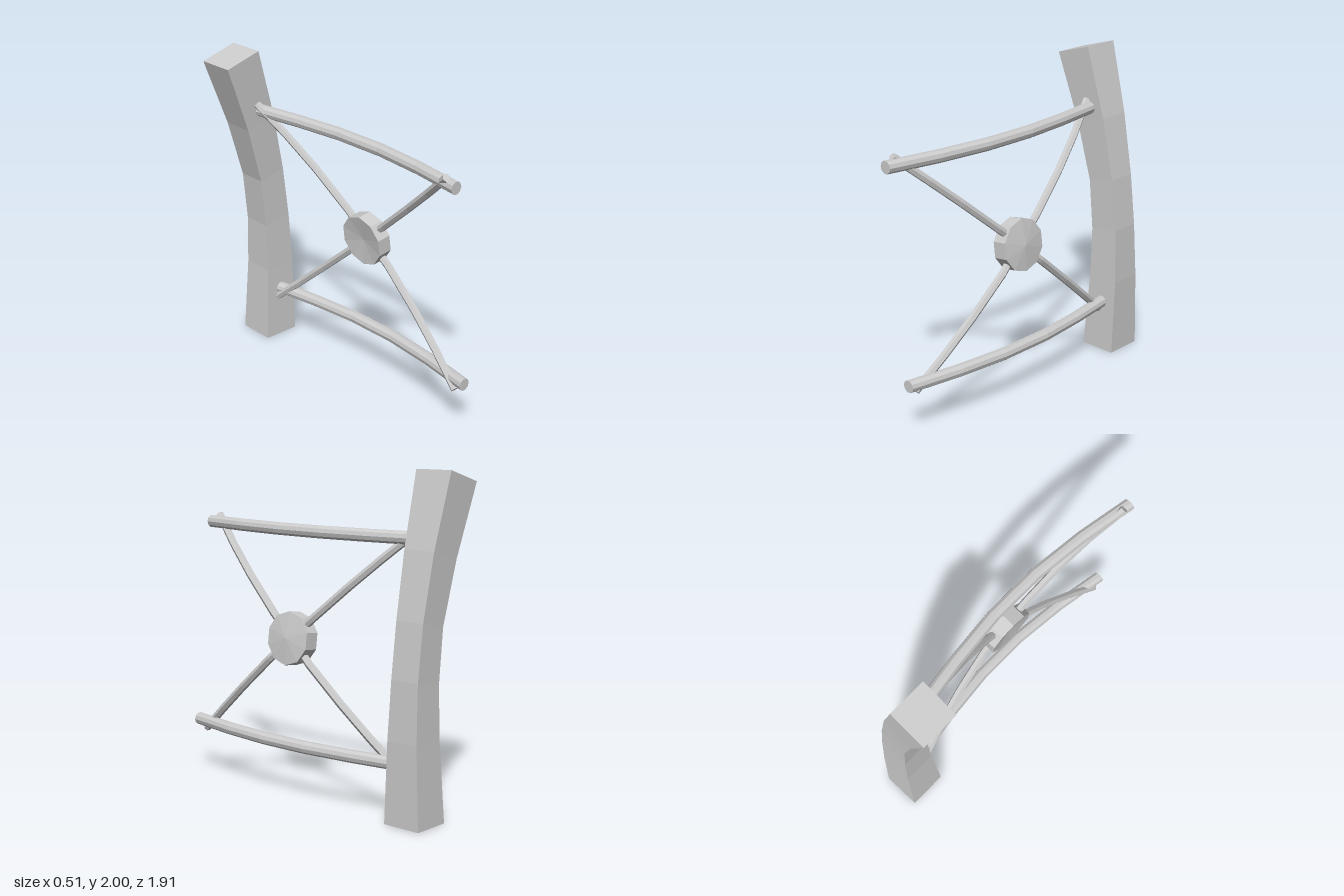
import * as THREE from 'three';

const material = new THREE.MeshStandardMaterial({ color: 0xcccccc, flatShading: true });
const V = (x, y, z) => new THREE.Vector3(x, y, z);

// Closed solid through rings of points, each counterclockwise about the direction of travel
function loft(name, rings) {
  const tris = [];
  const n = rings[0].length;
  for (let r = 0; r < rings.length - 1; r++) {
    const a = rings[r], b = rings[r + 1];
    for (let i = 0; i < n; i++) {
      const j = (i + 1) % n;
      tris.push(a[i], a[j], b[j], a[i], b[j], b[i]);
    }
  }
  const first = rings[0], last = rings[rings.length - 1];
  for (let i = 1; i < n - 1; i++) {
    tris.push(first[0], first[i + 1], first[i], last[0], last[i], last[i + 1]);
  }
  const geometry = new THREE.BufferGeometry().setFromPoints(tris);
  geometry.computeVertexNormals();
  const mesh = new THREE.Mesh(geometry, material);
  mesh.name = name;
  return mesh;
}

// Round bar whose rings all face along one direction
function bar(name, points, radius, sides, direction) {
  const d = direction.clone().normalize();
  const u = V(1, 0, 0).addScaledVector(d, -d.x).normalize();
  const v = d.clone().cross(u);
  return loft(name, points.map(p => Array.from({ length: sides }, (_, i) => {
    const t = (i / sides) * Math.PI * 2;
    return p.clone().addScaledVector(u, radius * Math.cos(t)).addScaledVector(v, radius * Math.sin(t));
  })));
}

export function createModel() {
  const group = new THREE.Group();
  group.name = 'bracedFrame';

  // Curved post: left x, left y, right x, right y, half depth
  const sections = [
    [0, 0, 0.24, 0, 0.122],
    [0.03, 0.49, 0.24, 0.49, 0.104],
    [0.03, 0.81, 0.222, 0.84, 0.094],
    [0, 1.13, 0.182, 1.17, 0.094],
    [-0.1, 1.5, 0.105, 1.56, 0.104],
    [-0.255, 1.93, -0.017, 2, 0.122],
  ];
  const pz = -0.832;
  group.add(loft('post', sections.map(([lx, ly, rx, ry, h]) => [
    V(rx, ry, pz + h), V(rx, ry, pz - h), V(lx, ly, pz - h), V(lx, ly, pz + h),
  ])));

  // Bowed rails, upper and lower
  const bow = [[-0.75, -0.005], [-0.41, 0.047], [-0.08, 0.08], [0.27, 0.08], [0.61, 0.045], [0.955, -0.015]];
  for (const [name, dx, y] of [['upperRail', 0, 1.613], ['lowerRail', 0.135, 0.333]]) {
    group.add(bar(name, bow.map(([z, x]) => V(x + dx, y, z)), 0.039, 10, V(0, 0, 1)));
  }

  // Four spokes running from the hub to the rail ends
  const hub = V(0.152, 0.968, 0.085);
  for (const [level, up, xs] of [
    ['upper', 1, [0.155, 0.145, 0.1, 0.045, -0.028]],
    ['lower', -1, [0.165, 0.178, 0.168, 0.145, 0.11]],
  ]) {
    for (const [side, out] of [['Front', 1], ['Back', -1]]) {
      const points = [0.08, 0.2, 0.5, 0.75, 1].map((t, i) =>
        V(xs[i], hub.y + up * 0.69 * t, hub.z + out * 0.808 * t));
      const direction = points[4].clone().sub(points[0]);
      group.add(bar(level + side + 'Spoke', points, 0.025, 6, direction));
    }
  }

  // Tilted hub disc, its faces bowed slightly toward the left
  const disc = new THREE.CylinderGeometry(0.163, 0.163, 0.093, 10, 1, false, Math.PI / 10);
  const pos = disc.attributes.position;
  for (let i = 0; i < pos.count; i++) {
    if (Math.hypot(pos.getX(i), pos.getZ(i)) < 0.01) pos.setY(i, pos.getY(i) + 0.018);
  }
  disc.computeVertexNormals();
  const hubMesh = new THREE.Mesh(disc, material);
  hubMesh.name = 'hub';
  hubMesh.position.copy(hub);
  hubMesh.rotation.z = -Math.PI / 2 + 0.13;
  group.add(hubMesh);

  return group;
}
